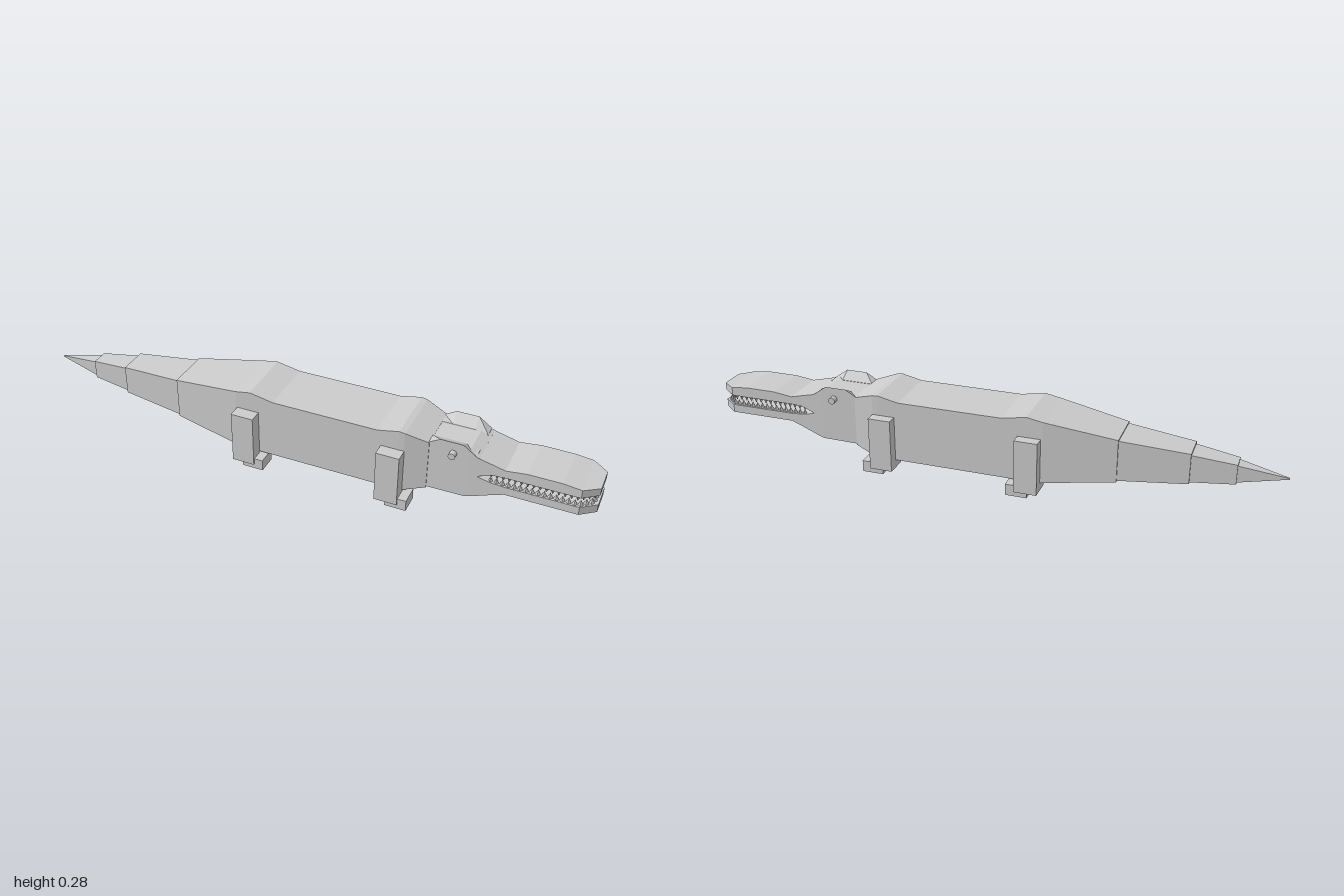
import * as THREE from 'three';

const mat = new THREE.MeshStandardMaterial({ color: 0xcccccc, flatShading: true });

function add(parent, name, geometry, x = 0, y = 0, z = 0) {
  const mesh = new THREE.Mesh(geometry, mat);
  mesh.name = name;
  mesh.position.set(x, y, z);
  parent.add(mesh);
  return mesh;
}

// Joins cross-sections { x, ring: [[y, z], ...] } listed by rising x; rings run counter-clockwise seen from +x
function loft(sections) {
  const pos = [];
  const put = (s, j) => pos.push(s.x, s.ring[j][0], s.ring[j][1]);
  const n = sections[0].ring.length;
  for (let i = 0; i < sections.length - 1; i++) {
    const a = sections[i], b = sections[i + 1];
    for (let j = 0; j < n; j++) {
      const k = (j + 1) % n;
      put(a, j); put(a, k); put(b, k);
      put(a, j); put(b, k); put(b, j);
    }
  }
  const first = sections[0], last = sections[sections.length - 1];
  for (let j = 1; j < n - 1; j++) {
    put(first, 0); put(first, j + 1); put(first, j);
    put(last, 0); put(last, j); put(last, j + 1);
  }
  const g = new THREE.BufferGeometry();
  g.setAttribute('position', new THREE.Float32BufferAttribute(pos, 3));
  g.computeVertexNormals();
  return g;
}

// Box-section loft from rows of [x, bottom, top, half width]
const boxLoft = (rows) => loft(rows.map(([x, b, t, w]) =>
  ({ x, ring: [[t, w], [b, w], [b, -w], [t, -w]] })));

export function createModel() {
  const model = new THREE.Group();
  model.name = 'crocodile';

  // Trunk, tail and head share one centre line
  const spine = new THREE.Group();
  spine.name = 'bodyAndHead';
  spine.position.z = -0.004;
  model.add(spine);

  add(spine, 'trunk', boxLoft([
    [-0.465, 0.08, 0.23, 0.079], [-0.22, 0.048, 0.268, 0.107], [-0.165, 0.046, 0.278, 0.107],
    [-0.08, 0.046, 0.262, 0.107], [0.29, 0.046, 0.262, 0.107], [0.365, 0.046, 0.278, 0.107],
    [0.385, 0.048, 0.275, 0.106], [0.46, 0.07, 0.25, 0.088]]));

  // Tail segments, each a little smaller than the end it follows
  const tail = [
    [[-0.695, 0.1, 0.206, 0.052], [-0.46, 0.083, 0.226, 0.075]],
    [[-0.84, 0.114, 0.182, 0.031], [-0.69, 0.104, 0.2, 0.047]],
    [[-1, 0.145, 0.149, 0.002], [-0.835, 0.118, 0.178, 0.027]],
  ];
  tail.forEach((rows, i) => add(spine, 'tailSegment' + (i + 1), boxLoft(rows)));

  // Head: skull, then two jaws that part at the mouth corner
  add(spine, 'skull', boxLoft([
    [0.45, 0.073, 0.249, 0.085], [0.59, 0.075, 0.249, 0.085], [0.625, 0.087, 0.236, 0.084]]));
  add(spine, 'upperJaw', boxLoft([
    [0.62, 0.165, 0.237, 0.084], [0.67, 0.184, 0.225, 0.083], [0.71, 0.187, 0.215, 0.083],
    [0.78, 0.187, 0.224, 0.083], [0.89, 0.187, 0.224, 0.083],
    [0.95, 0.187, 0.217, 0.083], [1, 0.187, 0.214, 0.045]]));
  add(spine, 'lowerJaw', boxLoft([
    [0.62, 0.085, 0.165, 0.084], [0.67, 0.105, 0.154, 0.083], [0.715, 0.122, 0.151, 0.083],
    [0.95, 0.122, 0.151, 0.083], [1, 0.122, 0.151, 0.045]]));

  for (const [side, s] of [['left', -1], ['right', 1]]) {
    // Brow ridge: a wedge rising towards the outer edge of the skull
    const brow = [[0.455, 0.25], [0.495, 0.273], [0.57, 0.273], [0.615, 0.241]].map(([x, top]) => {
      const ring = [[top, 0.085 * s], [0.235, 0.085 * s], [0.235, 0.042 * s], [Math.min(top, 0.25), 0.042 * s]];
      return { x, ring: s > 0 ? ring : ring.reverse() };
    });
    add(spine, side + 'Brow', loft(brow));
    const eye = add(spine, side + 'Eye', new THREE.CylinderGeometry(0.012, 0.012, 0.03, 12), 0.54, 0.232, 0.091 * s);
    eye.rotation.x = Math.PI / 2;
  }

  // Teeth follow the jaw outline
  const path = new THREE.Path([[0.665, 0.073], [0.945, 0.073], [0.985, 0.04],
    [0.985, -0.04], [0.945, -0.073], [0.665, -0.073]].map(([x, z]) => new THREE.Vector2(x, z)));
  const tooth = new THREE.ConeGeometry(0.01, 0.022, 4);
  for (const [name, y, flip, count] of [['upperTeeth', 0.178, Math.PI, 38], ['lowerTeeth', 0.16, 0, 39]]) {
    const row = new THREE.Group();
    row.name = name;
    spine.add(row);
    path.getSpacedPoints(count).forEach((p) => {
      add(row, 'tooth', tooth, p.x, y, p.y).rotation.x = flip;
    });
  }

  // Four legs with feet set forward
  for (const [end, x] of [['back', -0.175], ['front', 0.345]]) {
    for (const [side, s] of [['Left', -1], ['Right', 1]]) {
      add(model, end + side + 'Leg', new THREE.BoxGeometry(0.08, 0.188, 0.082), x, 0.112, 0.108 * s);
      add(model, end + side + 'Foot', new THREE.BoxGeometry(0.075, 0.04, 0.071), x + 0.033, 0.02, 0.108 * s);
    }
  }
  return model;
}
